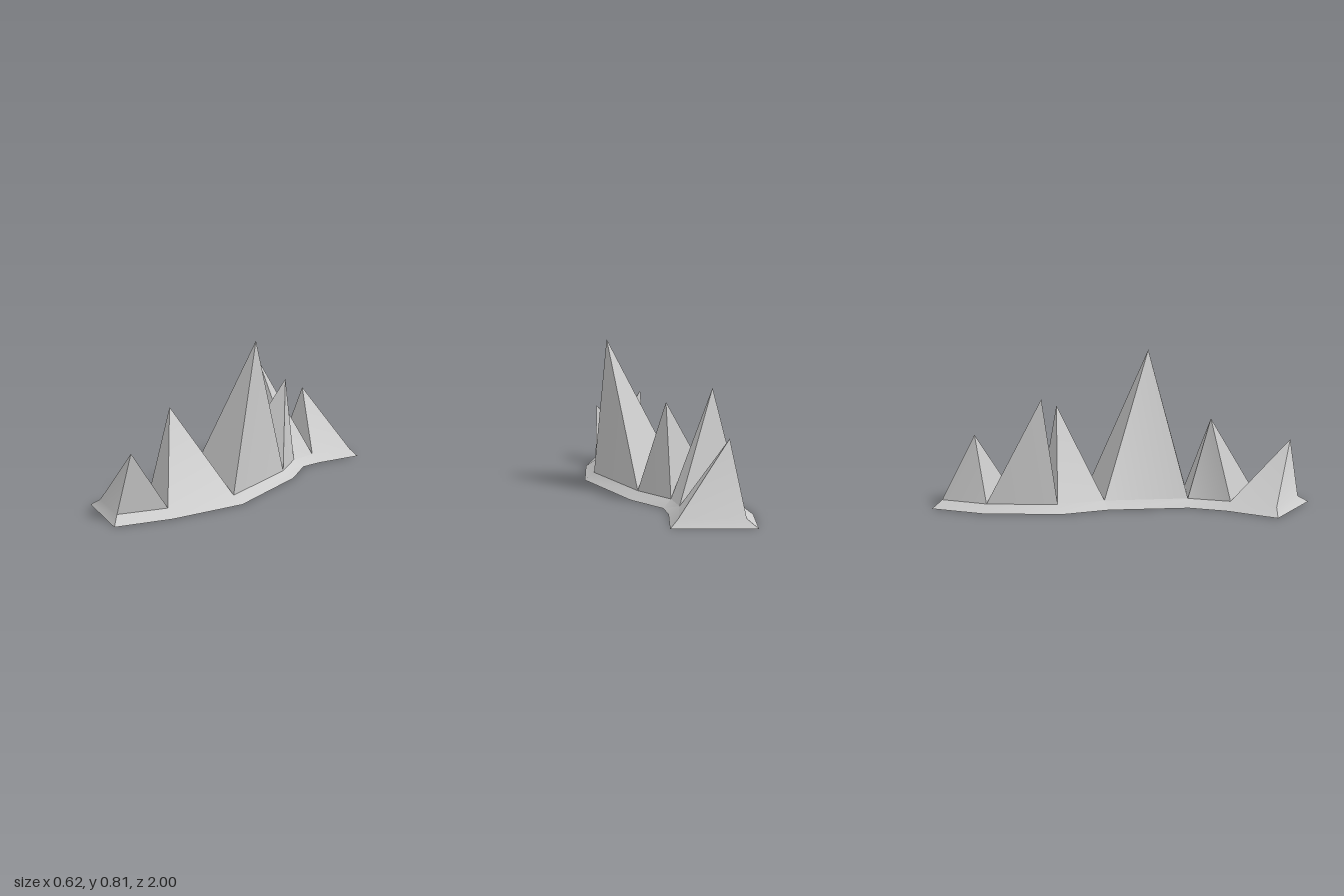
import * as THREE from 'three';
import { toCreasedNormals } from 'three/addons/utils/BufferGeometryUtils.js';

const RIM = 0.04; // height of the sloped foot

// Cross rows from back to front: foot edge [x, z] and rim edge [x, z] on each side
const rows = [
  { lo: [-0.233, -1.0], li: [-0.19, -0.953], ri: [0.12, -0.875], ro: [0.164, -0.894] },
  { lo: [-0.31, -0.714], li: [-0.26, -0.7], ri: [0.037, -0.62], ro: [0.09, -0.61] },
  { lo: [-0.293, -0.3], li: [-0.243, -0.325], ri: [0.032, -0.453], ro: [0.08, -0.48] },
  { lo: [-0.18, -0.063], li: [-0.135, -0.09], ri: [0.143, -0.218], ro: [0.19, -0.25] },
  { lo: [-0.103, 0.357], li: [-0.05, 0.35], ri: [0.256, 0.323], ro: [0.31, 0.317] },
  { lo: [-0.148, 0.556], li: [-0.095, 0.577], ri: [0.164, 0.704], ro: [0.218, 0.725] },
  { lo: [-0.27, 0.82], li: [-0.2, 0.815], ri: [0.055, 0.94], ro: [0.1, 1.0] },
];

// One apex [x, y, z] over each cell between two rows
const apexes = [
  [-0.164, 0.39, -0.776], [-0.197, 0.59, -0.412], [0.034, 0.52, -0.367],
  [0.227, 0.805, 0.117], [-0.05, 0.477, 0.467], [0.112, 0.34, 0.895],
];

const at = ([x, z], y) => [x, y, z];

// Outline, counter-clockwise from above: up the left side, down the right side
const outline = (left, right) => [
  ...rows.map((r) => r[right]).reverse(),
  ...rows.map((r) => r[left]),
];

export function createModel() {
  const group = new THREE.Group();
  const material = new THREE.MeshStandardMaterial({ color: 0xcccccc });
  const positions = [];
  const parts = [];
  const tri = (...corners) => corners.forEach((c) => positions.push(...c));
  const part = (name, build) => {
    const start = positions.length;
    build();
    parts.push({ name, start, end: positions.length });
  };

  // Sloped foot around the whole ridge
  part('slopedFoot', () => {
    const outer = outline('lo', 'ro');
    const inner = outline('li', 'ri');
    outer.forEach((p, i) => {
      const j = (i + 1) % outer.length;
      const a = at(p, 0), b = at(outer[j], 0);
      const c = at(inner[j], RIM), d = at(inner[i], RIM);
      tri(a, b, c);
      tri(a, c, d);
    });
  });

  // Flat underside
  part('underside', () => {
    for (let i = 0; i < rows.length - 1; i++) {
      const p = rows[i], q = rows[i + 1];
      const a = at(p.lo, 0), b = at(p.ro, 0), c = at(q.ro, 0), d = at(q.lo, 0);
      tri(a, b, c);
      tri(a, c, d);
    }
  });

  // Leaning four-sided peaks
  apexes.forEach((apex, i) => part(`peak${i + 1}`, () => {
    const p = rows[i], q = rows[i + 1];
    const base = [p.li, q.li, q.ri, p.ri].map((c) => at(c, RIM));
    base.forEach((c, k) => tri(c, base[(k + 1) % 4], apex));
  }));

  // Shade the whole ridge together, then split it into its parts
  const whole = new THREE.BufferGeometry();
  whole.setAttribute('position', new THREE.Float32BufferAttribute(positions, 3));
  const shaded = toCreasedNormals(whole, Math.PI / 6);
  for (const { name, start, end } of parts) {
    const geometry = new THREE.BufferGeometry();
    for (const key of ['position', 'normal']) {
      const slice = shaded.getAttribute(key).array.slice(start, end);
      geometry.setAttribute(key, new THREE.BufferAttribute(slice, 3));
    }
    const mesh = new THREE.Mesh(geometry, material);
    mesh.name = name;
    group.add(mesh);
  }
  group.name = 'mountainRidge';
  return group;
}
